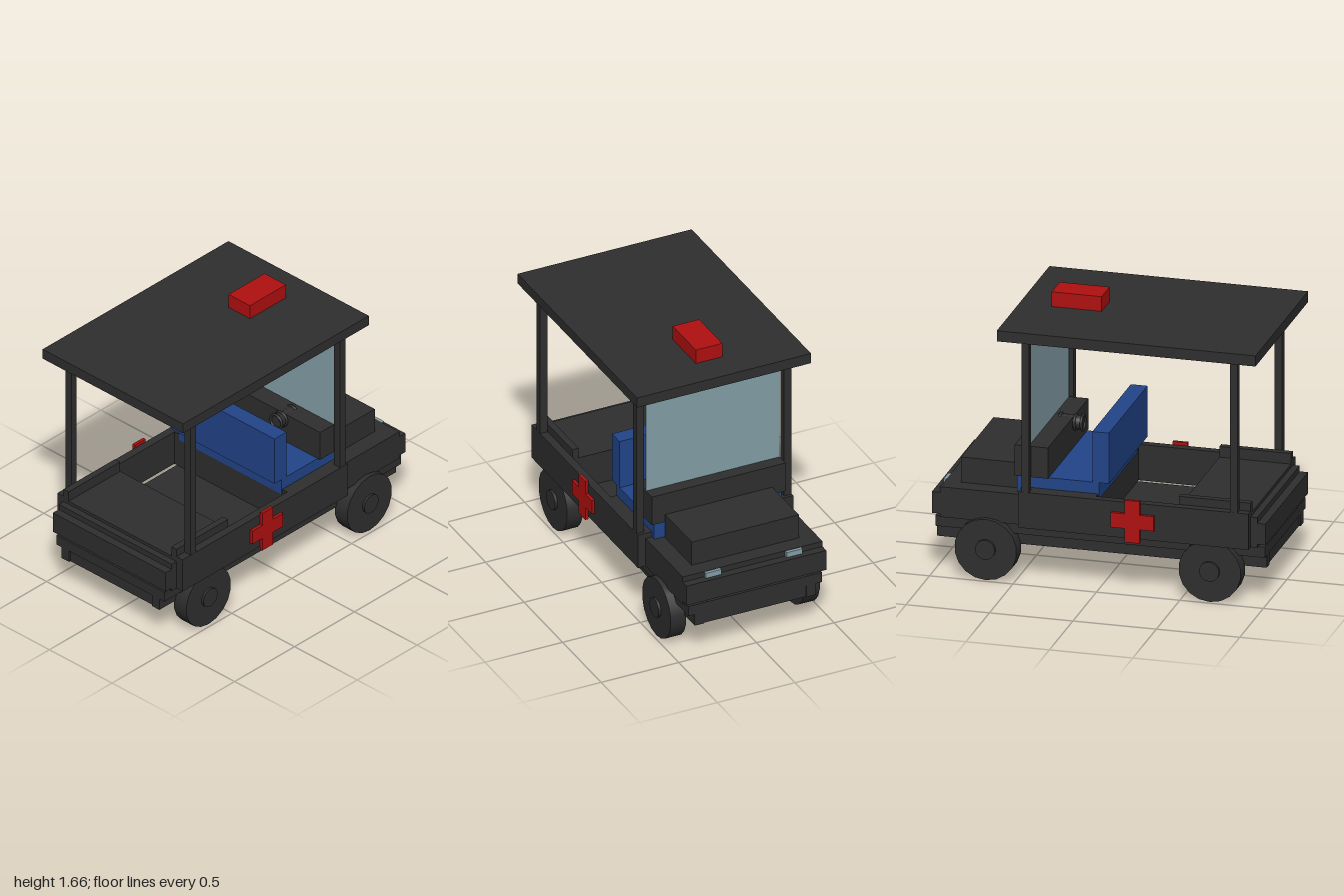
import * as THREE from 'three';

const material = (name, color) => {
  const m = new THREE.MeshStandardMaterial({ color });
  m.name = name;
  return m;
};

export function createModel() {
  const dark = material('charcoal', 0x2e2e2e);
  const red = material('red', 0xb01010);
  const blue = material('seat blue', 0x224488);
  const glass = material('pale glass', 0x849ea7);

  const model = new THREE.Group();
  model.name = 'openUtilityCart';

  const add = (name, geometry, mat, x = 0, y = 0, z = 0) => {
    const mesh = new THREE.Mesh(geometry, mat);
    mesh.name = name;
    mesh.position.set(x, y, z);
    model.add(mesh);
    return mesh;
  };
  // Box given by its limits along x, y and z
  const box = (name, mat, [x0, x1], [y0, y1], [z0, z1]) =>
    add(name, new THREE.BoxGeometry(x1 - x0, y1 - y0, z1 - z0), mat,
      (x0 + x1) / 2, (y0 + y1) / 2, (z0 + z1) / 2);
  // Box centred across the cart
  const wide = (name, mat, xs, ys, half) => box(name, mat, xs, ys, [-half, half]);
  // Same box on both sides of the cart
  const pair = (name, mat, xs, ys, [z0, z1]) => {
    box(name + 'Left', mat, xs, ys, [-z1, -z0]);
    box(name + 'Right', mat, xs, ys, [z0, z1]);
  };

  // Chassis: floor plate, long rails and cross members
  wide('floorPlate', dark, [-0.99, 0.985], [0.285, 0.35], 0.43);
  pair('chassisRail', dark, [-0.99, 0.985], [0.21, 0.286], [0.33, 0.39]);
  for (const x of [-0.95, 0, 0.95])
    wide('crossMember', dark, [x - 0.03, x + 0.03], [0.211, 0.286], 0.331);

  // Axles, wheels and hubs
  const tyre = new THREE.CylinderGeometry(0.187, 0.187, 0.1, 18).rotateX(Math.PI / 2);
  const hub = new THREE.CylinderGeometry(0.06, 0.06, 0.125, 18).rotateX(Math.PI / 2);
  for (const x of [-0.673, 0.67]) {
    wide('axle', dark, [x - 0.035, x + 0.035], [0.14, 0.212], 0.37);
    for (const side of [-1, 1]) {
      add('wheel', tyre, dark, x, 0.187, side * 0.43);
      add('wheelHub', hub, dark, x, 0.19, side * 0.433);
    }
  }

  // Body: nose, bonnet, side panels, rear deck and bumpers
  wide('noseBody', dark, [0.47, 0.95], [0.35, 0.535], 0.45);
  wide('bonnet', dark, [0.51, 0.855], [0.534, 0.69], 0.345);
  wide('frontBumper', dark, [0.949, 1], [0.37, 0.5], 0.45);
  pair('sidePanel', dark, [-0.91, 0.47], [0.35, 0.57], [0.45, 0.5]);
  wide('rearDeck', dark, [-0.91, -0.48], [0.35, 0.555], 0.45);
  wide('tailBody', dark, [-0.95, -0.909], [0.35, 0.535], 0.45);
  wide('rearBumper', dark, [-1, -0.949], [0.37, 0.5], 0.45);
  pair('deckRail', dark, [-0.91, -0.48], [0.554, 0.62], [0.41, 0.451]);
  pair('headlight', glass, [0.95, 0.97], [0.5, 0.533], [0.21, 0.31]);

  // Bench seat
  wide('seatBase', dark, [0.015, 0.47], [0.35, 0.57], 0.45);
  wide('seatCushion', blue, [0.01, 0.5], [0.536, 0.64], 0.41);
  wide('seatBack', blue, [-0.05, 0.05], [0.639, 0.95], 0.41);

  // Dashboard and steering wheel
  wide('dashboard', dark, [0.31, 0.51], [0.641, 0.83], 0.43);
  add('steeringColumn', new THREE.CylinderGeometry(0.042, 0.042, 0.15, 18).rotateZ(Math.PI / 2),
    dark, 0.335, 0.793, 0.13);
  for (const x of [0.258, 0.3, 0.39])
    add('steeringRing', new THREE.TorusGeometry(0.044, 0.008, 8, 24).rotateY(Math.PI / 2),
      dark, x, 0.793, 0.13);

  // Windscreen, roof posts, roof and beacon
  wide('windscreen', glass, [0.425, 0.433], [0.64, 1.485], 0.43);
  pair('frontPost', dark, [0.405, 0.45], [0.569, 1.506], [0.451, 0.499]);
  pair('rearPost', dark, [-0.845, -0.8], [0.569, 1.506], [0.451, 0.499]);
  wide('roof', dark, [-0.97, 0.58], [1.505, 1.57], 0.56);
  wide('beacon', red, [0.085, 0.385], [1.569, 1.66], 0.085);

  // Red cross on each side
  const a = 0.045, b = 0.129;
  const outline = [[a, a], [a, b], [-a, b], [-a, a], [-b, a], [-b, -a],
    [-a, -a], [-a, -b], [a, -b], [a, -a], [b, -a], [b, a]];
  const crossShape = new THREE.Shape(outline.map(([x, y]) => new THREE.Vector2(x, y)));
  const cross = new THREE.ExtrudeGeometry(crossShape, { depth: 0.02, bevelEnabled: false });
  add('sideCrossRight', cross, red, -0.22, 0.46, 0.499);
  add('sideCrossLeft', cross, red, -0.22, 0.46, -0.519);

  return model;
}
